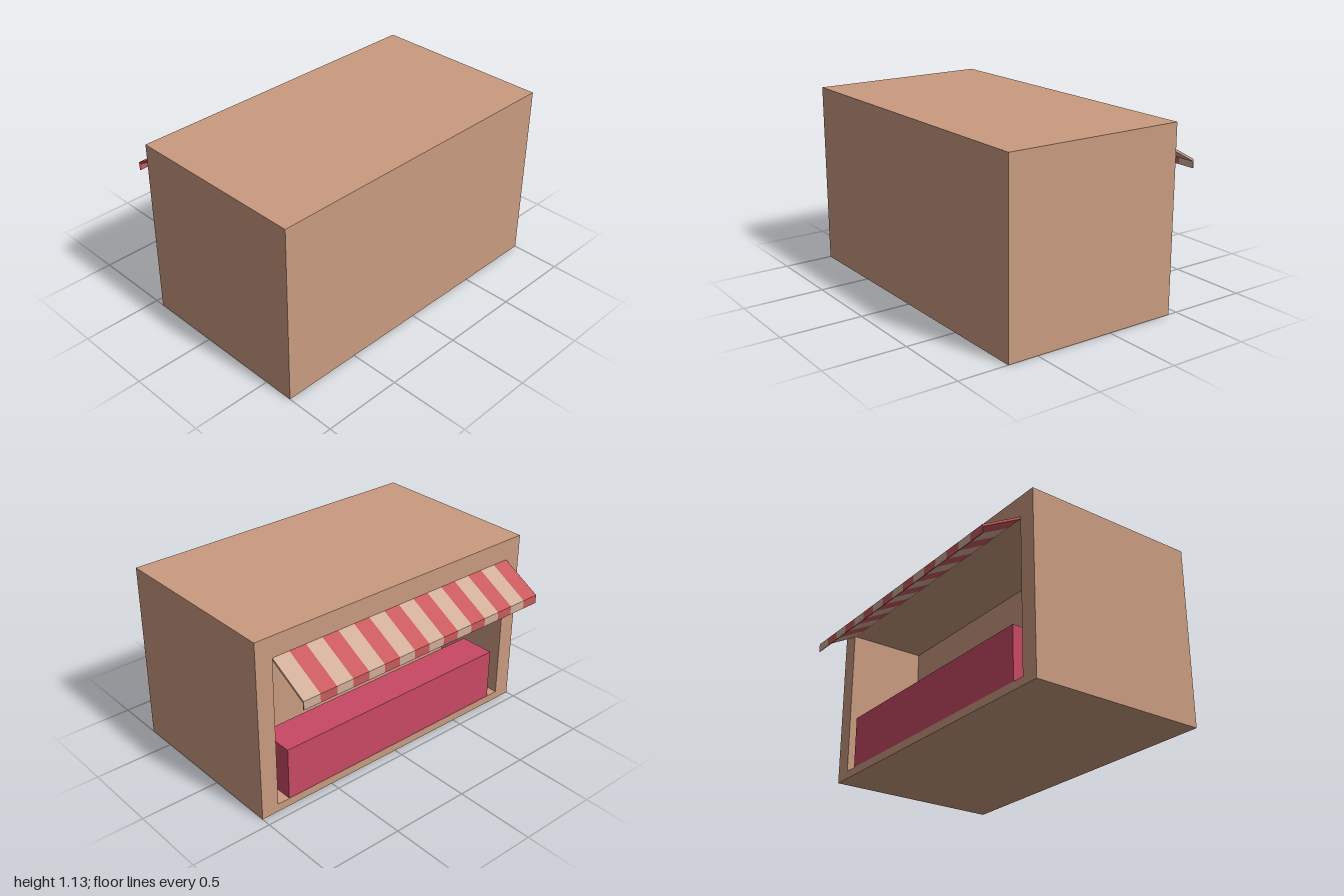
import * as THREE from 'three';

const material = (color) => new THREE.MeshStandardMaterial({ color, flatShading: true });
const points = (list) => list.map(([x, y]) => new THREE.Vector2(x, y));

export function createModel() {
  const model = new THREE.Group();
  const wall = material(0xc99b80);
  const cream = material(0xd0ad99);
  const red = material(0xc85a5c);
  const pink = material(0xc84864);

  const add = (name, geometry, mat, x = 0, y = 0, z = 0, parent = model) => {
    const mesh = new THREE.Mesh(geometry, mat);
    mesh.name = name;
    mesh.position.set(x, y, z);
    parent.add(mesh);
    return mesh;
  };

  // Main dimensions: the serving side faces -x
  const faceX = -0.44, rearX = 0.69, height = 1.13, roomDepth = 0.5;
  const floorY = 0.05, openingTop = 0.99, halfOpening = 0.89;

  // Open room: a block with a rectangular opening
  const shell = new THREE.Shape(points([[-1, 0], [1, 0], [1, height], [-1, height]]));
  shell.holes.push(new THREE.Path(points([
    [-halfOpening, floorY], [-halfOpening, openingTop],
    [halfOpening, openingTop], [halfOpening, floorY],
  ])));
  const shellGeometry = new THREE.ExtrudeGeometry(shell, { depth: roomDepth, bevelEnabled: false });
  shellGeometry.rotateY(Math.PI / 2);
  add('shopShell', shellGeometry, wall, faceX);

  // Solid rear part, closing the room
  const rearDepth = rearX - faceX - roomDepth;
  add('rearBlock', new THREE.BoxGeometry(rearDepth, height, 2), wall,
    rearX - rearDepth / 2, height / 2);

  // Counter standing on the raised floor
  add('counter', new THREE.BoxGeometry(0.23, 0.33, 1.62), pink,
    faceX + 0.117, floorY + 0.165);

  // Striped awning: sloping sheet with a hanging valance
  const awning = new THREE.Group();
  awning.name = 'awning';
  model.add(awning);
  const profile = new THREE.Shape(points([
    [faceX, 1.0], [-0.693, 0.858], [-0.693, 0.805],
    [-0.688, 0.805], [-0.688, 0.845], [faceX, 0.984],
  ]));
  const stripes = 16, width = 2 * halfOpening / stripes;
  const stripeGeometry = new THREE.ExtrudeGeometry(profile, { depth: width, bevelEnabled: false });
  for (let i = 0; i < stripes; i++) {
    add('awningStripe', stripeGeometry, i % 2 ? red : cream,
      0, 0, -halfOpening + i * width, awning);
  }

  return model;
}
